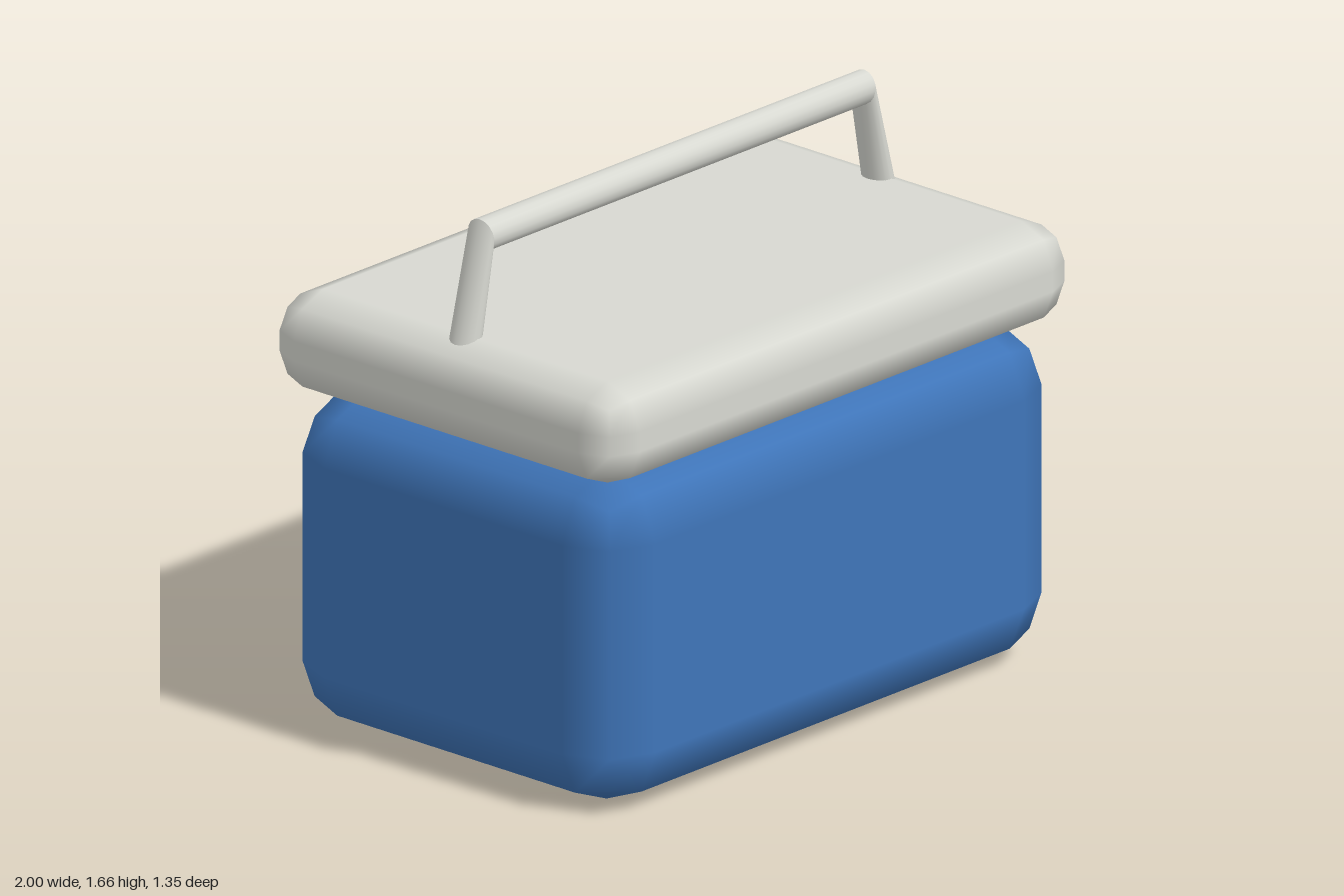
import * as THREE from 'three';
import { RoundedBoxGeometry } from 'three/addons/geometries/RoundedBoxGeometry.js';

const SIDES = 16;

// Round bar joining two elliptical rings; each ring is a centre (x, y) and a half-axis (ux, uy), with its own z half-width
function barGeometry(a, b) {
  const pos = [], index = [];
  for (const r of [a, b]) {
    for (let j = 0; j < SIDES; j++) {
      const t = (j / SIDES) * Math.PI * 2;
      pos.push(r.x + r.ux * Math.cos(t), r.y + r.uy * Math.cos(t), r.w * Math.sin(t));
    }
  }
  for (let j = 0; j < SIDES; j++) {
    const k = (j + 1) % SIDES;
    index.push(j, k, SIDES + j, k, SIDES + k, SIDES + j);
  }
  const g = new THREE.BufferGeometry();
  g.setAttribute('position', new THREE.Float32BufferAttribute(pos, 3));
  g.setIndex(index);
  g.computeVertexNormals();
  return g;
}

export function createModel() {
  const blue = new THREE.MeshStandardMaterial({ color: 0x3f75b9 });
  blue.name = 'blue body';
  const grey = new THREE.MeshStandardMaterial({ color: 0xd7d8d1 });
  grey.name = 'pale grey';

  const model = new THREE.Group();
  model.name = 'coolBox';
  const add = (parent, name, geometry, material, y = 0) => {
    const mesh = new THREE.Mesh(geometry, material);
    mesh.name = name;
    mesh.position.y = y;
    parent.add(mesh);
  };

  // Chest and overhanging lid, both with two-step bevels
  add(model, 'body', new RoundedBoxGeometry(1.94, 1.015, 1.3, 1, 0.19), blue, 0.5075);
  add(model, 'lid', new RoundedBoxGeometry(2, 0.31, 1.35, 1, 0.125), grey, 1.17);

  // Carrying handle: splayed legs mitred into a straight grip
  const handle = new THREE.Group();
  handle.name = 'handle';
  model.add(handle);
  const foot = s => ({ x: s * 0.885, y: 1.26, ux: s * 0.0475, uy: 0, w: 0.05 });
  const corner = s => ({ x: s * 0.807, y: 1.612, ux: s * 0.008, uy: 0.05, w: 0.05 });
  add(handle, 'rightLeg', barGeometry(foot(-1), corner(-1)), grey);
  add(handle, 'grip', barGeometry(corner(-1), corner(1)), grey);
  add(handle, 'leftLeg', barGeometry(corner(1), foot(1)), grey);

  return model;
}
